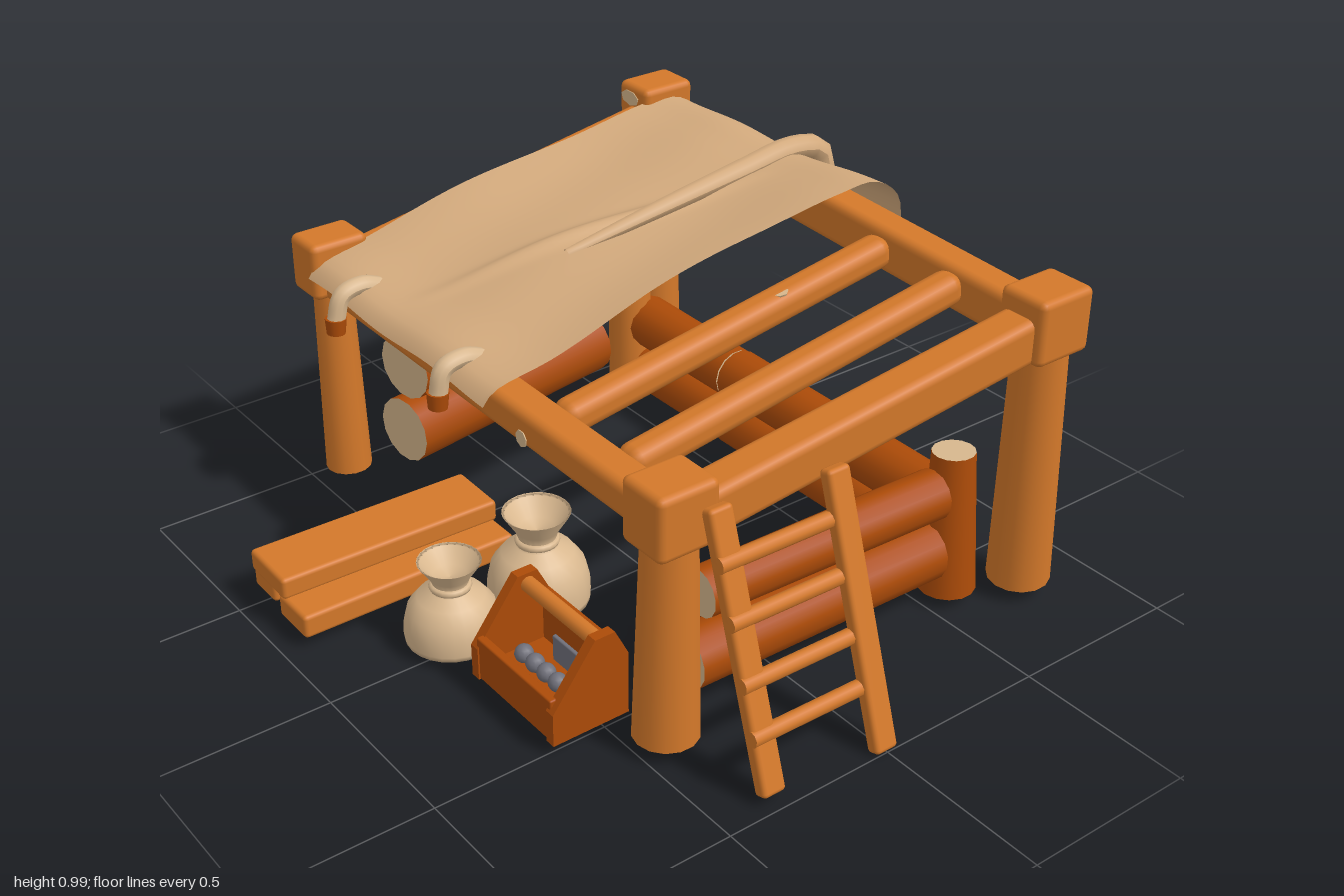
import * as THREE from 'three';
import { RoundedBoxGeometry } from 'three/addons/geometries/RoundedBoxGeometry.js';

const V = (a) => new THREE.Vector3(...a);
const UP = new THREE.Vector3(0, 1, 0);
const mat = (name, color, side = THREE.FrontSide) => {
  const m = new THREE.MeshStandardMaterial({ color, side });
  m.name = name;
  return m;
};

export function createModel() {
  const root = new THREE.Group();
  const wood = mat('light wood', 0xd3782a);
  const bark = mat('dark wood', 0xac4b08);
  const cutWood = mat('cut wood', 0xd8b88e);
  const canvas = mat('canvas', 0xd3aa7d, THREE.DoubleSide);
  const sackCloth = mat('sack cloth', 0xd9b88f, THREE.DoubleSide);
  const metal = mat('metal', 0x70707a);

  const add = (name, geo, material, pos = [0, 0, 0], parent = root) => {
    const m = new THREE.Mesh(geo, material);
    m.name = name;
    m.position.set(...pos);
    parent.add(m);
    return m;
  };
  // Round timber from a to b, with its own material on the cut ends
  const pole = (name, a, b, ra, rb, side, end = side, sides = 14) => {
    const p = V(a), q = V(b), dir = q.clone().sub(p);
    const m = add(name, new THREE.CylinderGeometry(rb, ra, dir.length(), sides), [side, end, end]);
    m.position.copy(p).lerp(q, 0.5);
    m.quaternion.setFromUnitVectors(UP, dir.normalize());
    return m;
  };
  const block = (name, size, pos, material, r = 0.015) =>
    add(name, new RoundedBoxGeometry(...size, 2, r), material, pos);
  // Squared timber from a to b along its local z
  const beam = (name, a, b, w, h, r = 0.025) => {
    const p = V(a), q = V(b);
    const m = block(name, [w, h, p.distanceTo(q)], [0, 0, 0], wood, r);
    m.position.copy(p).lerp(q, 0.5);
    m.lookAt(q);
    return m;
  };
  // Tube whose radius follows a rule
  const taperTube = (name, pts, radius, material) => {
    const n = 24, k = 10, curve = new THREE.CatmullRomCurve3(pts.map(V));
    const g = new THREE.TubeGeometry(curve, n, 1, k);
    const pos = g.attributes.position, v = new THREE.Vector3();
    for (let i = 0; i <= n; i++) {
      const c = curve.getPointAt(i / n), r = radius(i / n);
      for (let j = 0; j <= k; j++) {
        const id = i * (k + 1) + j;
        v.fromBufferAttribute(pos, id).sub(c).multiplyScalar(r).add(c);
        pos.setXYZ(id, v.x, v.y, v.z);
      }
    }
    g.computeVertexNormals();
    return add(name, g, material);
  };

  // Corner posts with square caps
  const corners = [
    ['frontRight', [-0.925, 0.05, 0.41], [-0.935, 0.7, 0.41], 0.068, 0.055, [0.135, 0.17, 0.18], [-0.932, 0.725, 0.41]],
    ['frontLeft', [0.648, 0.05, 0.42], [0.645, 0.7, 0.41], 0.088, 0.07, [0.155, 0.18, 0.18], [0.648, 0.7, 0.41]],
    ['backRight', [-0.925, 0.05, -0.76], [-0.93, 0.9, -0.75], 0.075, 0.06, [0.14, 0.18, 0.18], [-0.93, 0.91, -0.752]],
    ['backLeft', [0.695, 0.05, -0.77], [0.71, 0.85, -0.74], 0.088, 0.072, [0.155, 0.185, 0.185], [0.71, 0.86, -0.745]],
  ];
  for (const [n, a, b, ra, rb, size, c] of corners) {
    pole(n + 'Post', a, b, ra, rb, wood, cutWood);
    block(n + 'Cap', size, c, wood, 0.02);
  }
  pole('innerPost', [-0.83, 0.03, -0.58], [-0.83, 0.9, -0.56], 0.072, 0.06, wood, cutWood);
  pole('stump', [0.605, 0.04, -0.585], [0.585, 0.46, -0.59], 0.08, 0.06, bark, cutWood);

  // Roof frame and open rafters
  beam('frontBeam', [-0.9, 0.685, 0.41], [0.6, 0.675, 0.41], 0.11, 0.1);
  beam('backBeam', [-0.9, 0.885, -0.755], [0.66, 0.835, -0.745], 0.11, 0.13);
  beam('leftBeam', [0.66, 0.68, 0.36], [0.705, 0.835, -0.69], 0.115, 0.13);
  beam('rightBeam', [-0.92, 0.7, 0.36], [-0.91, 0.88, -0.69], 0.075, 0.12);
  beam('rafter', [0.145, 0.685, 0.37], [0.15, 0.855, -0.71], 0.09, 0.09, 0.035);
  beam('rafter', [0.415, 0.685, 0.37], [0.425, 0.855, -0.71], 0.09, 0.09, 0.035);

  // Low log walls
  for (const [y, cuts] of [[0.112, [-0.8, -0.36, -0.02, 0.55]], [0.268, [-0.8, -0.345, 0.55]]])
    for (let i = 0; i + 1 < cuts.length; i++)
      pole('backLog', [cuts[i] + 0.004, y, -0.615], [cuts[i + 1] - 0.004, y, -0.615], 0.08, 0.077, bark, cutWood);
  pole('rightLogLower', [-0.77, 0.2, 0.3], [-0.89, 0.2, -0.46], 0.1, 0.095, bark, cutWood);
  pole('rightLogUpper', [-0.78, 0.4, 0.28], [-0.915, 0.395, -0.46], 0.1, 0.095, bark, cutWood);
  pole('leftLogLower', [0.58, 0.18, 0.31], [0.58, 0.17, -0.52], 0.082, 0.085, bark, cutWood);
  pole('leftLogUpper', [0.56, 0.345, 0.25], [0.58, 0.345, -0.53], 0.068, 0.072, bark, cutWood);

  // Canvas sheet draped over the right half of the frame, with a slanting crease
  const drape = new THREE.CatmullRomCurve3([
    [0, 0.715, 0.51], [0, 0.75, 0.48], [0, 0.79, 0.3], [0, 0.862, 0], [0, 0.915, -0.4],
    [0, 0.96, -0.66], [0, 0.965, -0.78], [0, 0.9, -0.865], [0, 0.78, -0.885]].map(V));
  const sheet = new THREE.PlaneGeometry(1, 1, 60, 50);
  const sp = sheet.attributes.position;
  for (let i = 0; i < sp.count; i++) {
    const u = sp.getX(i) + 0.5, v = sp.getY(i) + 0.5;
    const p = drape.getPointAt(v);
    const sag = Math.sin(Math.PI * v);
    const x = -0.88 + 0.89 * u + 0.015 * Math.sin(v * 9) * u;
    const crease = 0.02 * Math.exp(-(((x + 0.53 - 0.32 * v) / 0.03) ** 2)) * Math.max(0, Math.sin(Math.PI * (v - 0.08) / 0.7));
    const y = p.y - 0.018 * sag * Math.sin(Math.PI * u) + 0.006 * Math.sin(u * 11 + v * 5)
      + 0.02 * v * u ** 4 + crease;
    sp.setXYZ(i, x, y, p.z + (v > 0.8 ? -0.1 * u * (v - 0.8) : 0));
  }
  sheet.computeVertexNormals();
  add('canvasRoof', sheet, canvas);

  // Rolled fold across the sheet, and ties at the front edge
  taperTube('canvasFold', [[-0.34, 0.84, -0.925], [-0.34, 0.93, -0.9], [-0.34, 0.96, -0.79], [-0.33, 0.945, -0.6],
    [-0.325, 0.905, -0.28], [-0.345, 0.85, 0]], (t) => 0.036 - 0.022 * t * t, canvas);
  pole('foldTip', [-0.34, 0.795, -0.925], [-0.34, 0.85, -0.922], 0.026, 0.036, bark);
  for (const [x, z] of [[-0.67, 0.545], [-0.155, 0.54]]) {
    taperTube('tie', [[x, 0.745, 0.4], [x, 0.765, 0.46], [x, 0.75, 0.52], [x, 0.68, z]], () => 0.026, sackCloth);
    pole('tieTip', [x, 0.645, z + 0.002], [x, 0.69, z], 0.026, 0.03, bark);
  }

  // Ladder leaning on the left side
  const at = (y) => 0.975 - 0.325 * (y - 0.02);
  for (const [z, o, y0, y1] of [[0.345, -0.01, 0.03, 0.73], [0.005, 0.01, 0.01, 0.72]])
    beam('ladderRail', [at(y0) + o, y0, z], [at(y1) + o, y1, z], 0.07, 0.042, 0.012);
  for (const y of [0.18, 0.31, 0.46, 0.6])
    pole('ladderRung', [at(y), y + 0.004, 0.38], [at(y), y - 0.004, -0.03], 0.022, 0.022, wood, wood, 10);

  // Stack of planks
  block('plankLower', [0.115, 0.07, 0.62], [-0.498, 0.065, 0.61], wood, 0.012);
  block('plankSide', [0.145, 0.07, 0.66], [-0.302, 0.075, 0.61], wood, 0.012);
  const topPlank = block('plankTop', [0.19, 0.065, 0.67], [-0.425, 0.137, 0.605], wood, 0.012);
  topPlank.rotation.y = -0.02;

  // Tied sacks with flared necks
  const sackProfile = [[0, 0], [0.98, 0], [1, 0.06], [0.99, 0.22], [0.91, 0.4], [0.7, 0.55], [0.42, 0.63], [0.35, 0.69],
    [0.42, 0.8], [0.66, 1], [0.6, 0.98], [0.34, 0.82], [0, 0.78]];
  for (const [x, z, r, h] of [[-0.03, 0.61, 0.13, 0.235], [-0.035, 0.33, 0.142, 0.275]]) {
    const g = new THREE.Group();
    g.name = 'sack';
    g.position.set(x, 0.033, z);
    root.add(g);
    add('sackBody', new THREE.LatheGeometry(sackProfile.map(([a, b]) => new THREE.Vector2(a * r, b * h)), 24), sackCloth, [0, 0, 0], g);
    const cord = add('sackCord', new THREE.TorusGeometry(r * 0.36, 0.011, 8, 20), sackCloth, [0, h * 0.68, 0], g);
    cord.rotation.x = Math.PI / 2;
  }

  // Tool carrier: gabled ends, low front, tall back, round handle
  const gable = new THREE.Shape([[-0.665, 0.035], [-0.665, 0.13], [-0.535, 0.3], [-0.475, 0.3], [-0.435, 0.22], [-0.435, 0.035]]
    .map(([a, b]) => new THREE.Vector2(a, b)));
  for (const x of [0.15, 0.485]) {
    const end = add('carrierEnd', new THREE.ExtrudeGeometry(gable, { depth: 0.03, bevelEnabled: false }), bark, [x, 0, 0]);
    end.rotation.y = Math.PI / 2;
  }
  block('carrierFront', [0.33, 0.125, 0.025], [0.333, 0.098, 0.648], bark, 0.005);
  block('carrierBack', [0.33, 0.195, 0.025], [0.333, 0.133, 0.449], bark, 0.005);
  block('carrierFloor', [0.33, 0.04, 0.21], [0.333, 0.06, 0.55], bark, 0.005);
  pole('carrierHandle', [0.16, 0.268, 0.505], [0.505, 0.268, 0.505], 0.022, 0.022, wood);
  for (let i = 0; i < 5; i++)
    add('metalBall', new THREE.SphereGeometry(0.026, 12, 8), metal, [0.235 + i * 0.05, 0.105, 0.56]);
  block('metalBlade', [0.16, 0.08, 0.012], [0.35, 0.115, 0.49], metal, 0.004);

  // Chipped patches of bare wood
  const chip = (pos, rx, stretch = 1, r = 0.024) => {
    const m = add('chip', new THREE.CylinderGeometry(r, r * 0.9, 0.006, 7), cutWood, pos);
    m.rotation.x = rx;
    m.scale.x = stretch;
  };
  chip([-0.25, 0.66, 0.466], Math.PI / 2);
  chip([0.115, 0.655, 0.466], Math.PI / 2);
  chip([0.16, 0.836, -0.33], 0.155);
  chip([-0.94, 0.958, -0.661], Math.PI / 2, 1.8);

  return root;
}
